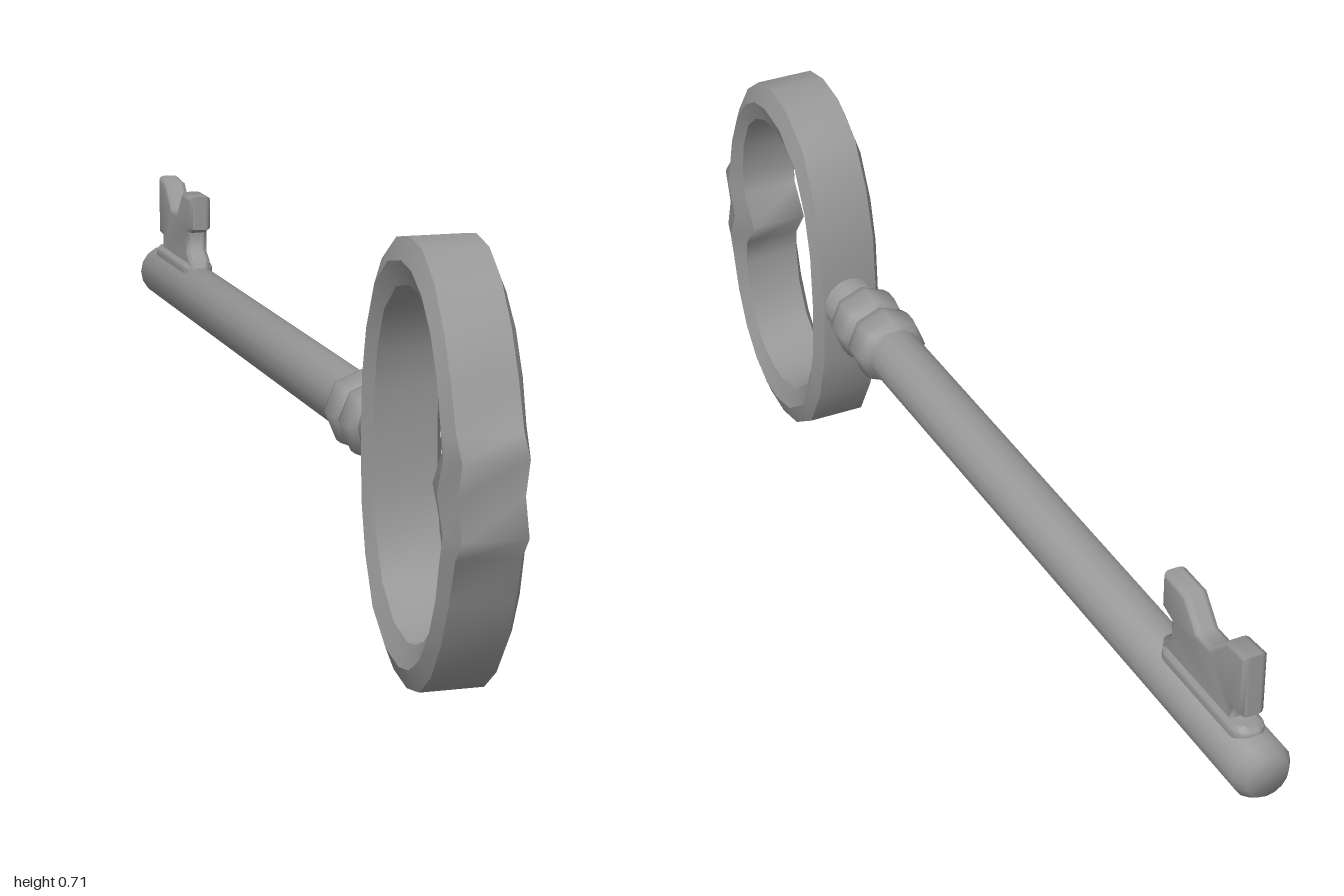
import * as THREE from 'three';
import { toCreasedNormals } from 'three/addons/utils/BufferGeometryUtils.js';

const MID_Y = 0.356;
const material = new THREE.MeshStandardMaterial({ color: 0x979797 });

function part(name, geometry) {
  const mesh = new THREE.Mesh(geometry, material);
  mesh.name = name;
  return mesh;
}

// Turned part along the z axis, profile given as [radius, z] with z rising
function turned(name, profile, sides) {
  const points = profile.map(([r, z]) => new THREE.Vector2(r, z));
  const geometry = new THREE.LatheGeometry(points, sides);
  geometry.rotateX(Math.PI / 2).translate(0, MID_Y, 0);
  return part(name, toCreasedNormals(geometry, 1.1));
}

// Upper half outlines of the bow as [z, height above centre], front to back
const OUTER = [[0.982, 0], [1, 0.06], [0.972, 0.095], [0.945, 0.17], [0.912, 0.24], [0.865, 0.305], [0.81, 0.345],
  [0.75, 0.356], [0.685, 0.345], [0.612, 0.298], [0.566, 0.215], [0.539, 0.125], [0.53, 0]];
const INNER = [[0.865, 0], [0.905, 0.055], [0.91, 0.1], [0.9, 0.165], [0.87, 0.225], [0.83, 0.258], [0.79, 0.275],
  [0.75, 0.281], [0.685, 0.268], [0.625, 0.22], [0.592, 0.15], [0.579, 0.08], [0.577, 0]];

const closeLoop = (half) => [...half, ...half.slice(1, -1).reverse().map(([z, y]) => [z, -y])];

// Each band has its own vertices: smooth around the loop, sharp between bands
function createBow() {
  const outer = closeLoop(OUTER), inner = closeLoop(INNER);
  const side = 0.053, ridge = 0.067;
  // Cross-section: [blend from outer to inner outline, x]
  const section = [[0, side], [0, -side], [0.48, -ridge], [1, -side], [1, side], [0.48, ridge]];
  const positions = [], indices = [];
  const n = outer.length;
  section.forEach((start, j) => {
    const base = j * n * 2;
    const end = section[(j + 1) % section.length];
    for (let i = 0; i < n; i++) {
      for (const [t, x] of [start, end]) {
        positions.push(x,
          MID_Y + THREE.MathUtils.lerp(outer[i][1], inner[i][1], t),
          THREE.MathUtils.lerp(outer[i][0], inner[i][0], t));
      }
      const a = base + i * 2, b = base + ((i + 1) % n) * 2;
      indices.push(a, b, a + 1, b, b + 1, a + 1);
    }
  });
  const geometry = new THREE.BufferGeometry();
  geometry.setAttribute('position', new THREE.Float32BufferAttribute(positions, 3));
  geometry.setIndex(indices);
  geometry.computeVertexNormals();
  return part('bow', geometry);
}

// Notched plate with soft edges, outline given as [distance towards the back, y]
function createBit() {
  const outline = [[0.7, 0.37], [0.95, 0.37], [0.95, 0.415], [0.92, 0.42], [0.92, 0.437], [0.95, 0.44],
    [0.95, 0.555], [0.893, 0.55], [0.845, 0.505], [0.805, 0.505], [0.765, 0.55], [0.695, 0.55],
    [0.695, 0.485], [0.725, 0.475], [0.725, 0.44], [0.7, 0.425]];
  const shape = new THREE.Shape(outline.map(([u, v]) => new THREE.Vector2(u, v)));
  const geometry = new THREE.ExtrudeGeometry(shape, {
    depth: 0.02, bevelThickness: 0.011, bevelSize: 0.009, bevelOffset: -0.009, bevelSegments: 3,
  });
  geometry.translate(0, 0, -0.01).rotateY(Math.PI / 2);
  return part('bit', toCreasedNormals(geometry, 1.1));
}

// Low round-ended flange joining the bit to the shaft
function createBitBase() {
  const radius = 0.029;
  const shape = new THREE.Shape();
  shape.absarc(0, 0.93, radius, 0, Math.PI);
  shape.absarc(0, 0.725, radius, Math.PI, Math.PI * 2);
  const geometry = new THREE.ExtrudeGeometry(shape, {
    depth: 0.03, bevelThickness: 0.012, bevelSize: 0.012, bevelOffset: -0.012, bevelSegments: 3, curveSegments: 6,
  });
  geometry.rotateX(-Math.PI / 2).translate(0, 0.376, 0);
  return part('bitBase', toCreasedNormals(geometry, 1.1));
}

export function createModel() {
  const group = new THREE.Group();
  group.name = 'key';
  group.add(createBow());

  // Shaft with a softly rounded tip
  group.add(turned('shaft', [[0, -1], [0.038, -1], [0.051, -0.982], [0.051, 0.34]], 16));

  // Neck and two faceted collars
  group.add(turned('neck', [[0.045, 0.33], [0.045, 0.48], [0.052, 0.49], [0.052, 0.56]], 16));
  for (const [name, z] of [['frontCollar', 0.45], ['backCollar', 0.37]]) {
    group.add(turned(name, [[0.05, z - 0.041], [0.064, z - 0.029], [0.068, z - 0.012],
      [0.068, z + 0.012], [0.064, z + 0.029], [0.05, z + 0.041]], 8));
  }

  group.add(createBit(), createBitBase());
  return group;
}
